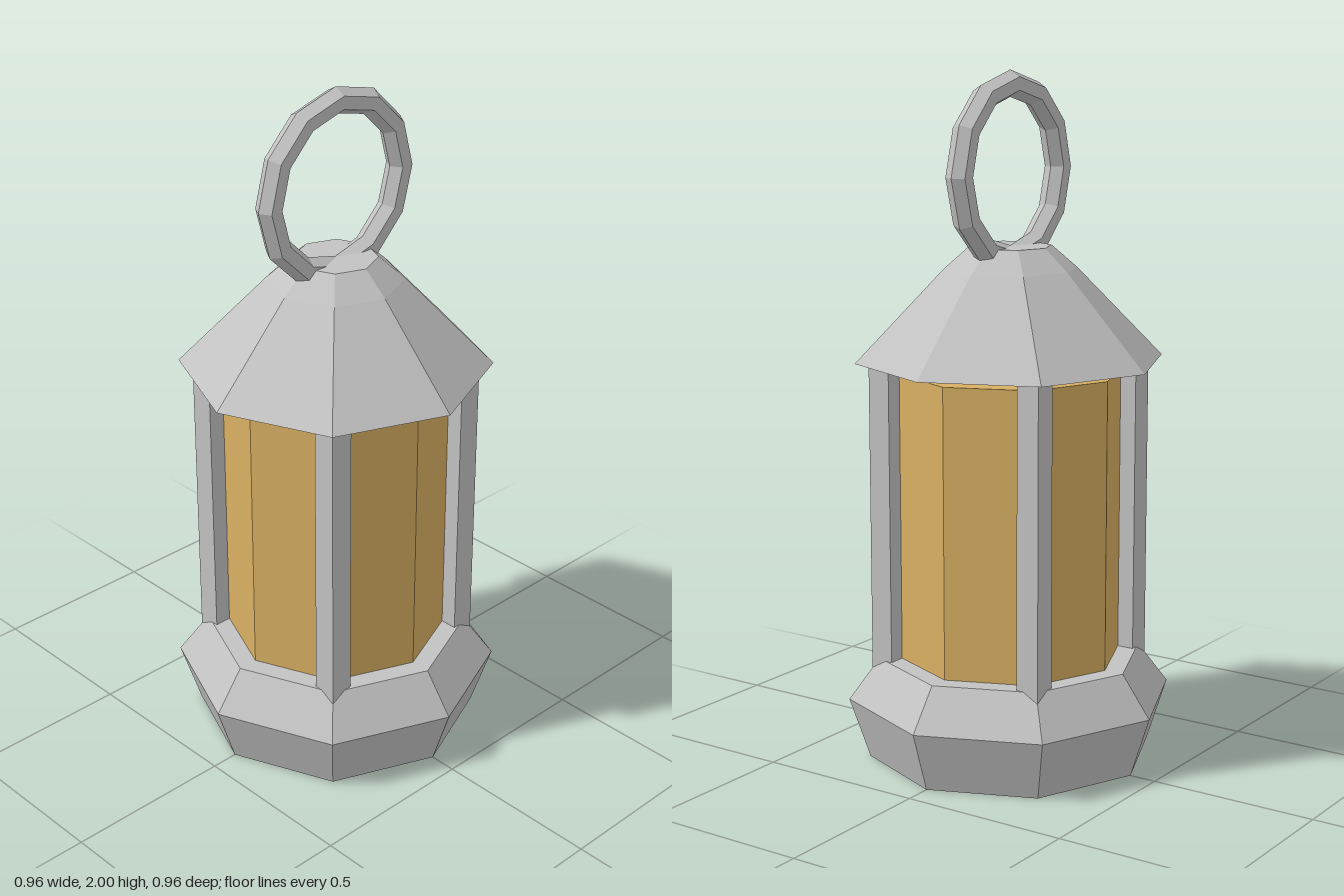
import * as THREE from 'three';

export function createModel() {
  const group = new THREE.Group();
  const metal = new THREE.MeshStandardMaterial({ name: 'grey metal', color: 0xc2c2c2, flatShading: true });
  const glass = new THREE.MeshStandardMaterial({ name: 'amber glass', color: 0xd8af62, flatShading: true });

  const add = (name, geometry, material, x = 0, y = 0, z = 0) => {
    const mesh = new THREE.Mesh(geometry, material);
    mesh.name = name;
    mesh.position.set(x, y, z);
    group.add(mesh);
    return mesh;
  };

  // Closed octagonal solid from [radius, height] pairs, listed bottom to top
  const octagon = (profile) => {
    const points = profile.map(([r, y]) => new THREE.Vector2(r, y));
    return new THREE.LatheGeometry(points, 8);
  };

  // Flared base
  add('base', octagon([[0, 0], [0.42, 0], [0.48, 0.18], [0.39, 0.3], [0, 0.3]]), metal);

  // Glass body, a little short of the roof
  add('glassBody', octagon([[0, 0.29], [0.33, 0.29], [0.33, 1.145], [0, 1.145]]), glass);

  // Four square posts between base and roof
  for (const x of [-1, 1]) {
    for (const z of [-1, 1]) {
      add('post', new THREE.BoxGeometry(0.07, 0.95, 0.07), metal, x * 0.255, 0.725, z * 0.255);
    }
  }

  // Roof with a slightly flatter crown
  add('roof', octagon([[0, 1.177], [0.45, 1.177], [0.195, 1.44], [0.12, 1.505], [0, 1.505]]), metal);

  // Carrying ring sunk into the crown
  add('ring', new THREE.TorusGeometry(0.247, 0.038, 6, 12), metal, 0, 1.715, 0);

  return group;
}
